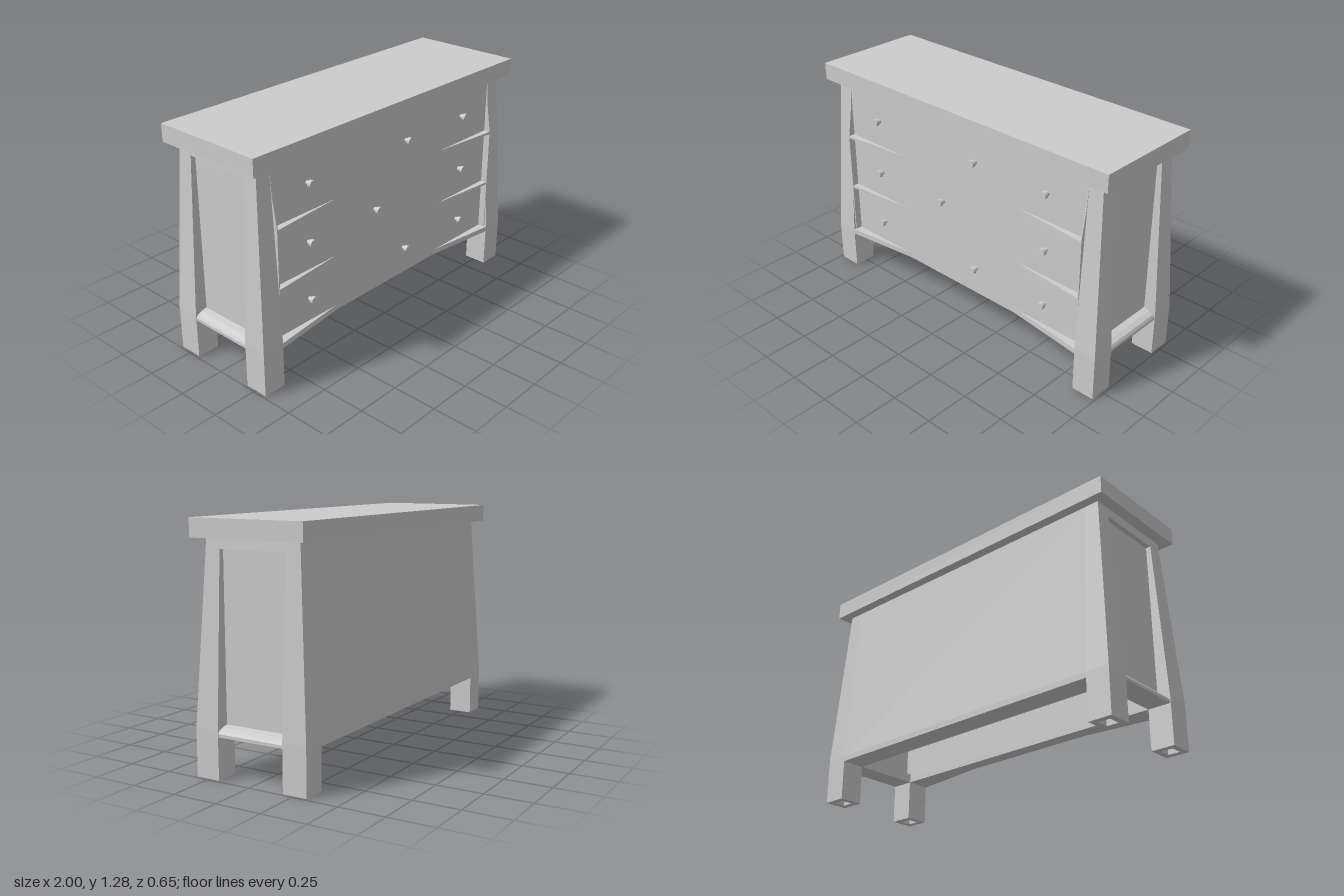
import * as THREE from 'three';

const TOP = 1.187, KNEE = 0.25, INX = 0.857, INZ = 0.19, FACE = 0.272;
const taper = (y) => Math.min(1, Math.max(0, (y - KNEE) / (TOP - KNEE)));
const outX = (y) => 0.987 - 0.048 * taper(y); // outer side plane
const outZ = (y) => 0.324 - 0.053 * taper(y); // outer front/back plane
const outline = (pts) => new THREE.Shape(pts.map(([a, b]) => new THREE.Vector2(a, b)));
const extrude = (shape, depth) => new THREE.ExtrudeGeometry(shape, { depth, bevelEnabled: false });

export function createModel() {
  const group = new THREE.Group();
  const grey = new THREE.MeshStandardMaterial({ color: 0xcccccc });
  grey.name = 'plain grey';

  const add = (name, geo, x = 0, y = 0, z = 0) => {
    const m = new THREE.Mesh(geo, grey);
    m.name = name;
    m.position.set(x, y, z);
    group.add(m);
    return m;
  };
  const box = (name, x0, x1, y0, y1, z0, z1) =>
    add(name, new THREE.BoxGeometry(x1 - x0, y1 - y0, z1 - z0), (x0 + x1) / 2, (y0 + y1) / 2, (z0 + z1) / 2);

  // Box whose corners are placed by a rule (u, v, w are 0 or 1 across the box)
  const shaped = (name, rule) => {
    const geo = new THREE.BoxGeometry(1, 1, 1);
    const p = geo.attributes.position;
    for (let i = 0; i < p.count; i++)
      p.setXYZ(i, ...rule(p.getX(i) + 0.5, p.getY(i) + 0.5, p.getZ(i) + 0.5));
    geo.computeVertexNormals();
    return add(name, geo);
  };
  const yAt = (v) => KNEE + v * (TOP - KNEE);

  // Top board
  box('topBoard', -1, 1, TOP, 1.283, -0.325, 0.325);

  // Legs: hollow straight foot, tapered post above
  const legW = outX(0) - INX, legD = outZ(0) - INZ;
  const rect = (w, d) => [[-w, -d], [w, -d], [w, d], [-w, d]];
  const footShape = outline(rect(legW / 2, legD / 2));
  footShape.holes.push(outline(rect(0.033, 0.033)));
  const footGeo = extrude(footShape, KNEE);
  footGeo.rotateX(-Math.PI / 2);
  for (const sx of [-1, 1]) for (const sz of [-1, 1]) {
    add('foot', footGeo, sx * (INX + legW / 2), 0, sz * (INZ + legD / 2));
    shaped('legPost', (u, v, w) => {
      const y = yAt(v);
      const a = sx > 0 ? u : 1 - u, b = sz > 0 ? w : 1 - w;
      return [sx * (INX + a * (outX(y) - INX)), y, sz * (INZ + b * (outZ(y) - INZ))];
    });
  }

  // Back board, flush with the legs, and its bottom rail
  shaped('backBoard', (u, v, w) => {
    const y = yAt(v);
    return [(2 * u - 1) * INX, y, w > 0.5 ? -INZ : -outZ(y)];
  });
  box('backRail', -INX, INX, 0.22, KNEE, -outZ(0), -INZ);

  // Upright flat drawer fronts, set back between the sloping legs
  box('drawerFronts', -INX, INX, KNEE, TOP, INZ, FACE);

  // Front rails, full depth at the legs and dying into the drawer plane
  const frontRail = (name, y0, y1, endZ) => {
    const mid = FACE - 0.002;
    const geo = extrude(outline([
      [-INX, -INZ], [-INX, -endZ], [-0.4, -mid], [0.4, -mid], [INX, -endZ], [INX, -INZ],
    ]), y1 - y0);
    geo.rotateX(-Math.PI / 2);
    add(name, geo, 0, y0, 0);
  };
  frontRail('bottomRail', 0.22, KNEE, outZ(0));
  frontRail('drawerRail', 0.533, 0.547, 0.311);
  frontRail('drawerRail', 0.856, 0.87, 0.311);

  // Thin stiles beside the legs
  const stileGeo = extrude(outline([
    [-0.26, KNEE], [-0.26, 1.17], [-0.272, 1.17], [-0.283, 1.04], [-0.311, 0.87], [-0.311, KNEE],
  ]), 0.006);
  stileGeo.rotateY(Math.PI / 2);
  for (const x of [-INX, INX - 0.006]) add('stile', stileGeo, x);

  // Side panels with a header and a rounded sill
  const sillGeo = extrude(outline([
    [0.855, 0.22], [0.984, 0.22], [0.984, 0.236], [0.975, 0.25], [0.95, 0.262], [0.91, 0.27], [0.855, 0.27],
  ]), 2 * INZ);
  sillGeo.translate(0, 0, -INZ);
  for (const s of [-1, 1]) {
    box('sidePanel', s * 0.9 - 0.015, s * 0.9 + 0.015, 0.26, TOP, -INZ, INZ);
    shaped('sideHeader', (u, v, w) => {
      const y = 1.135 + v * (TOP - 1.135), a = s > 0 ? u : 1 - u;
      return [s * (INX + a * (outX(y) - INX)), y, (2 * w - 1) * INZ];
    });
    add('sideSill', sillGeo).rotation.y = s > 0 ? 0 : Math.PI;
  }

  // Knobs, staggered in the middle column
  const knobGeo = new THREE.CylinderGeometry(0.02, 0.02, 0.02, 16);
  const stemGeo = new THREE.CylinderGeometry(0.012, 0.012, 0.03, 12);
  knobGeo.rotateX(Math.PI / 2);
  stemGeo.rotateX(Math.PI / 2);
  for (const [y, midX] of [[1.025, 0.125], [0.705, -0.12], [0.38, 0.125]])
    for (const x of [-0.615, midX, 0.61]) {
      add('knobStem', stemGeo, x, y, FACE + 0.01);
      add('knob', knobGeo, x, y, 0.3);
    }

  return group;
}
